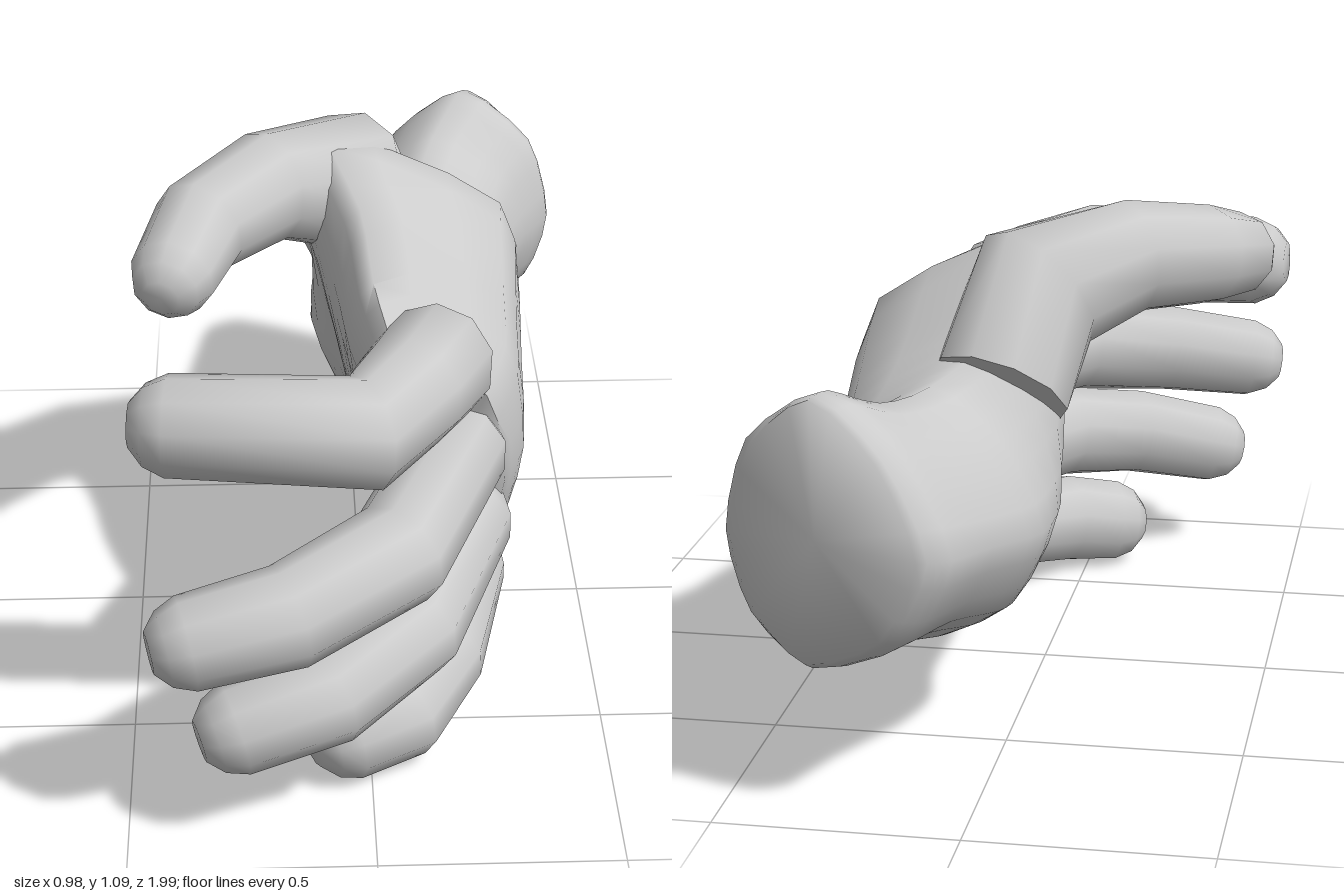
import * as THREE from 'three';
import { toCreasedNormals } from 'three/addons/utils/BufferGeometryUtils.js';

const material = new THREE.MeshStandardMaterial({ color: 0xcccccc });

// Skins a list of rings (equal point counts) and closes both ends.
function loft(name, rings) {
  const n = rings[0].length, points = rings.flat(), index = [];
  for (let i = 0; i < rings.length - 1; i++) {
    for (let j = 0; j < n; j++) {
      const a = i * n + j, b = i * n + (j + 1) % n;
      index.push(a, a + n, b, b, a + n, b + n);
    }
  }
  [0, rings.length - 1].forEach((i, end) => {
    const mid = new THREE.Vector3();
    rings[i].forEach(p => mid.addScaledVector(p, 1 / n));
    const c = points.push(mid) - 1;
    for (let j = 0; j < n; j++) {
      const a = i * n + j, b = i * n + (j + 1) % n;
      if (end) index.push(c, b, a); else index.push(c, a, b);
    }
  });
  const geo = new THREE.BufferGeometry().setFromPoints(points);
  geo.setIndex(index);
  const mesh = new THREE.Mesh(toCreasedNormals(geo, 1.2), material);
  mesh.name = name;
  return mesh;
}

// A digit through knuckle, two joints and fingertip, each [x, y, z, radius].
// Its root sinks toward a point inside the hand; the tip is blunt and tapered.
function digit(name, root, rootScale, joints, sides = 10) {
  const stations = joints.map(([x, y, z, r]) => ({ p: new THREE.Vector3(x, y, z), r }));
  const toward = (from, target, distance, scale) => ({
    p: from.p.clone().addScaledVector(target.clone().sub(from.p).normalize(), distance),
    r: from.r * scale,
  });
  const [knuckle, , last, tip] = stations;
  stations.unshift(toward(knuckle, root, 0.24, rootScale));
  stations.push(toward(tip, last.p, -0.045, 0.8), toward(tip, last.p, -0.075, 0.45));

  const up = new THREE.Vector3(0, 1, 0);
  const heading = k => stations[k + 1].p.clone().sub(stations[k].p).normalize();
  return loft(name, stations.map(({ p, r }, i) => {
    const t = heading(Math.max(i - 1, 0)).add(heading(Math.min(i, stations.length - 2))).normalize();
    const side = up.clone().cross(t).normalize();
    const over = t.clone().cross(side);
    return Array.from({ length: sides }, (_, j) => {
      const a = -(j + 0.5) / sides * Math.PI * 2;
      return p.clone().addScaledVector(side, Math.cos(a) * r).addScaledVector(over, Math.sin(a) * r);
    });
  }));
}

// A rounded section set by its back, palm and ridge x, its top and bottom y,
// and a plane z + zx * x + zy * y.
function section(z, zx, zy, back, palm, ridge, top, bottom) {
  const mix = THREE.MathUtils.lerp;
  const at = (x, f) => {
    const y = mix(bottom, top, f);
    return new THREE.Vector3(x, y, z + zx * x + zy * y);
  };
  const curve = new THREE.CatmullRomCurve3([
    at(back - 0.05, 0.8), at(back, 0.46), at(back - 0.05, 0.17), at(mix(palm, back, 0.6), 0),
    at(mix(palm, back, 0.2), 0.14), at(palm, 0.46), at(mix(palm, ridge, 0.6) - 0.05, 0.8), at(ridge, 1),
  ], true, 'catmullrom', 0.35);
  return curve.getPoints(24).slice(0, 24);
}

// Adds rings between the given ones along smooth curves.
function refine(rings, steps) {
  const lines = rings[0].map((_, j) =>
    new THREE.CatmullRomCurve3(rings.map(r => r[j]), false, 'catmullrom', 0.4).getPoints((rings.length - 1) * steps));
  return lines[0].map((_, i) => lines.map(line => line[i]));
}

export function createModel() {
  const hand = new THREE.Group();
  hand.name = 'hand';

  // Wrist, thumb mound and palm, from the cut end to the knuckles
  hand.add(loft('palmAndWrist', refine([
    section(-1.03, 0.33, 0, 0.48, 0.08, 0.3, 0.86, 0.32),
    section(-0.96, 0.25, 0, 0.49, 0.02, 0.27, 0.87, 0.3),
    section(-0.78, 0.1, 0, 0.41, -0.03, 0.2, 0.81, 0.3),
    section(-0.56, 0, 0, 0.38, -0.09, 0.14, 0.79, 0.24),
    section(-0.4, 0, 0, 0.38, -0.1, 0.02, 0.88, 0.19),
    section(-0.23, 0, 0, 0.37, -0.05, -0.08, 1.07, 0.14),
    section(0, 0, 0, 0.36, -0.02, 0, 0.98, 0.12),
    section(0.08, 0, 0.17, 0.35, 0.02, 0.02, 0.92, 0.1),
    section(0.14, 0, 0.31, 0.3, 0.07, 0.05, 0.87, 0.13),
  ], 3)));

  // Four fingers curling toward the palm
  const heart = new THREE.Vector3(0.16, 0.5, -0.2);
  hand.add(digit('indexFinger', heart, 0.8, [
    [0.14, 0.78, 0.33, 0.128], [0.08, 0.79, 0.47, 0.12], [-0.01, 0.795, 0.64, 0.118], [-0.405, 0.8, 0.605, 0.105]]));
  hand.add(digit('middleFinger', heart, 0.8, [
    [0.19, 0.58, 0.35, 0.108], [0.05, 0.55, 0.7, 0.112], [-0.17, 0.508, 0.855, 0.106], [-0.37, 0.48, 0.9, 0.096]]));
  hand.add(digit('ringFinger', heart, 0.8, [
    [0.21, 0.375, 0.3, 0.108], [0.08, 0.34, 0.65, 0.11], [-0.09, 0.298, 0.82, 0.104], [-0.28, 0.258, 0.875, 0.096]]));
  hand.add(digit('littleFinger', heart, 0.8, [
    [0.22, 0.19, 0.2, 0.095], [0.15, 0.15, 0.47, 0.1], [0.06, 0.122, 0.63, 0.107], [-0.055, 0.105, 0.685, 0.1]]));

  // Thumb rising out of its mound beside the wrist
  hand.add(digit('thumb', new THREE.Vector3(0.1, 0.5, -0.62), 0.95, [
    [-0.03, 0.93, -0.27, 0.155], [-0.2, 0.975, -0.14, 0.122], [-0.345, 0.95, 0.01, 0.108], [-0.4, 0.915, 0.18, 0.092]]));

  return hand;
}
